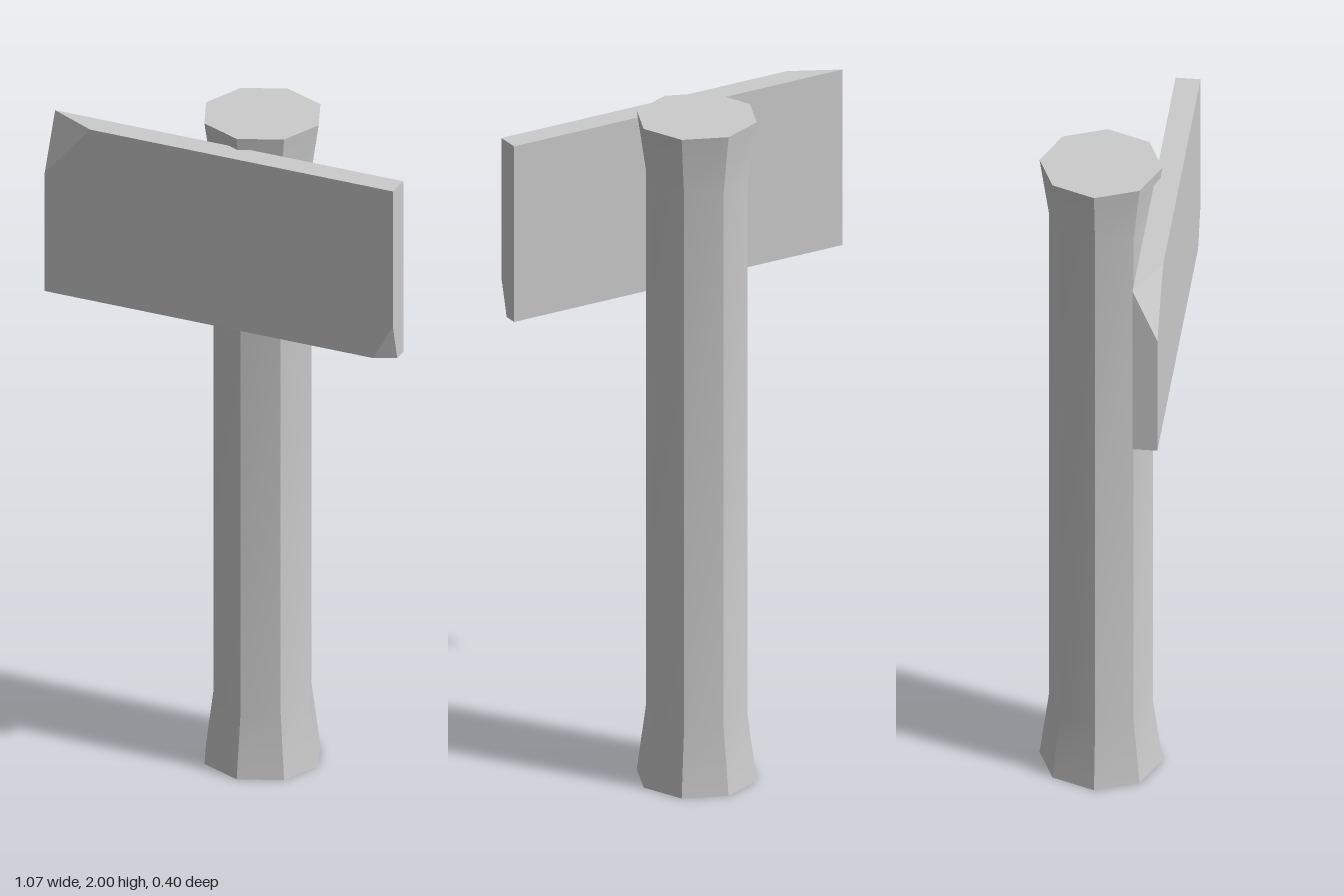
import * as THREE from 'three';
import { toCreasedNormals } from 'three/addons/utils/BufferGeometryUtils.js';
import { ConvexGeometry } from 'three/addons/geometries/ConvexGeometry.js';

const material = new THREE.MeshStandardMaterial({ color: 0xcccccc });

// Eight-sided post: a straight shaft that flares out at both ends
function createPost() {
  const endRadius = 0.173, shaftRadius = 0.146, shaftBottom = 0.2, shaftTop = 1.82;
  const geometry = new THREE.CylinderGeometry(endRadius, endRadius, 2, 8, 3);
  const pos = geometry.attributes.position;
  const k = shaftRadius / endRadius;
  for (let i = 0; i < pos.count; i++) {
    const y = pos.getY(i);
    if (Math.abs(y) > 0.9) continue;
    pos.setXYZ(i, pos.getX(i) * k, (y < 0 ? shaftBottom : shaftTop) - 1, pos.getZ(i) * k);
  }
  const post = new THREE.Mesh(toCreasedNormals(geometry, 0.5), material);
  post.name = 'post';
  post.position.set(0.032, 1, -0.026);
  return post;
}

// Sign board with two front corners chipped off
function createBoard() {
  const x = 0.535, bottom = 1.43, top = 1.963, back = 0.127, front = 0.197;
  const corners = [
    // back face
    [-x, bottom, back], [x, bottom, back], [x, top, back], [-x, top, back],
    // whole front corners
    [-x, bottom, front], [x, top, front],
    // large chip, top corner
    [-x, 1.8, front], [-0.395, top, front],
    // small chip, bottom corner
    [x, 1.54, front], [0.475, bottom, front], [x, bottom, 0.168],
  ];
  const board = new THREE.Mesh(
    new ConvexGeometry(corners.map((c) => new THREE.Vector3(...c))), material);
  board.name = 'signBoard';
  return board;
}

export function createModel() {
  const model = new THREE.Group();
  model.name = 'signpost';
  model.add(createPost(), createBoard());
  return model;
}
